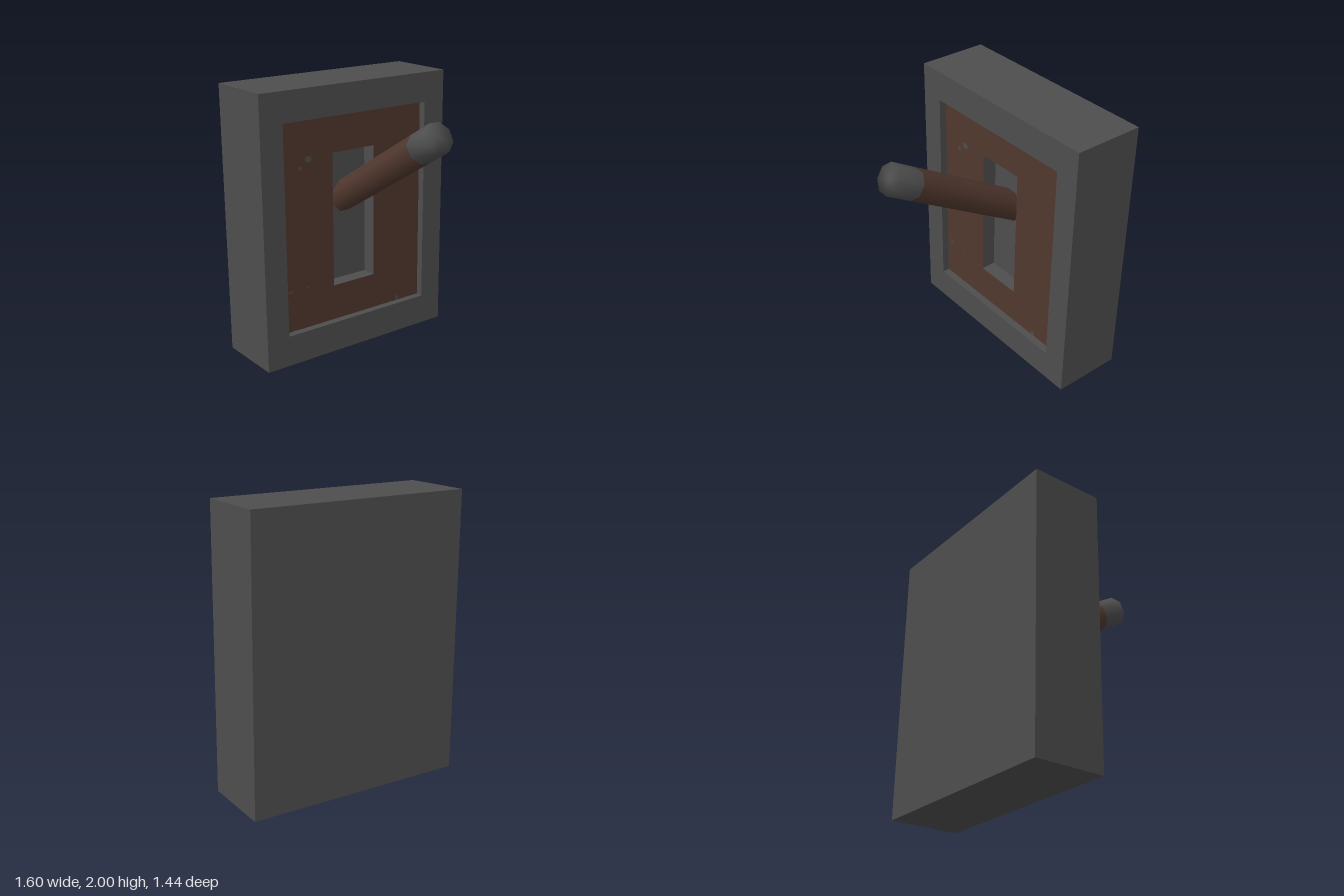
import * as THREE from 'three';
import { mergeGeometries, mergeVertices } from 'three/addons/utils/BufferGeometryUtils.js';

// Rectangles as [halfWidth, bottom, top]
const OUTER = [0.8, 0, 2];
const RECESS = [0.62, 0.23, 1.78];
const SLOT = [0.183, 0.5, 1.505];
const BACK_Z = -0.72, FRONT_Z = -0.2, PLATE_Z = -0.255, FLOOR_Z = -0.365;

const corners = ([w, b, t]) => [[-w, b], [w, b], [w, t], [-w, t]].map(([x, y]) => new THREE.Vector2(x, y));

// Flat panel facing +z, optionally with a rectangular opening
function panel(rect, z, opening) {
  const shape = new THREE.Shape(corners(rect));
  if (opening) shape.holes.push(new THREE.Path(corners(opening).reverse()));
  const geo = new THREE.ShapeGeometry(shape).toNonIndexed();
  geo.deleteAttribute('uv');
  return geo.translate(0, 0, z);
}

// Four walls between two depths; they face outward when z0 < z1, inward otherwise
function walls(rect, z0, z1) {
  const c = corners(rect), pos = [];
  c.forEach((a, i) => {
    const b = c[(i + 1) % 4];
    pos.push(a.x, a.y, z0, b.x, b.y, z0, b.x, b.y, z1, a.x, a.y, z0, b.x, b.y, z1, a.x, a.y, z1);
  });
  const geo = new THREE.BufferGeometry();
  geo.setAttribute('position', new THREE.Float32BufferAttribute(pos, 3));
  geo.computeVertexNormals();
  return geo;
}

export function createModel() {
  const group = new THREE.Group();
  const metal = new THREE.MeshStandardMaterial({ color: 0x4e4e4e });
  metal.name = 'dark grey metal';
  const rust = new THREE.MeshStandardMaterial({ color: 0x51382e });
  rust.name = 'rust brown';

  const add = (name, geo, mat, parent = group) => {
    const mesh = new THREE.Mesh(geo, mat);
    mesh.name = name;
    parent.add(mesh);
    return mesh;
  };

  // Housing with a shallow recess and a deeper lever slot
  const back = panel(OUTER, 0).rotateY(Math.PI).translate(0, 0, BACK_Z);
  add('housing', mergeGeometries([
    back,
    walls(OUTER, BACK_Z, FRONT_Z),
    panel(OUTER, FRONT_Z, RECESS),
    walls(RECESS, FRONT_Z, PLATE_Z),
    walls(SLOT, PLATE_Z, FLOOR_Z),
    panel(SLOT, FLOOR_Z),
  ]), metal);

  // Rusty face plate around the slot
  add('facePlate', panel(RECESS, PLATE_Z, SLOT), rust);

  // Worn spots on the plate: x, y, half width, half height
  const spots = [
    [-0.39, 1.49, 0.03, 0.024], [-0.46, 1.435, 0.016, 0.014], [0.41, 0.253, 0.018, 0.017],
    [-0.565, 0.547, 0.027, 0.004], [-0.565, 0.535, 0.027, 0.004], [-0.41, 0.542, 0.01, 0.006],
    [-0.605, 1.762, 0.015, 0.012], [-0.53, 0.235, 0.03, 0.004],
  ];
  for (const [x, y, w, h] of spots) {
    const spot = add('wornSpot', new THREE.CircleGeometry(1, 8), metal);
    spot.scale.set(w, h, 1);
    spot.position.set(x, y, PLATE_Z + 0.003);
  }

  // Octagonal lever, its origin at the tip and its axis along local y
  const lever = new THREE.Group();
  lever.name = 'lever';
  lever.position.set(0, 1.757, 0.663);
  lever.rotation.x = THREE.MathUtils.degToRad(59);
  group.add(lever);

  const radius = 0.1115, tipLength = 0.21, length = 1.3;
  const rod = (from, to, open) =>
    new THREE.CylinderGeometry(radius, radius, to - from, 8, 1, open)
      .rotateY(Math.PI / 8).translate(0, (from + to) / 2, 0);
  add('leverShaft', rod(-length, -tipLength, true), rust, lever);

  // Tip with normals blended over the end, without its hidden inner cap
  let tip = rod(-tipLength, 0, false);
  const capGroup = tip.groups[2];
  tip.setIndex(Array.from(tip.index.array).slice(0, capGroup.start));
  tip.clearGroups();
  tip.deleteAttribute('normal');
  tip.deleteAttribute('uv');
  tip = mergeVertices(tip, 1e-4);
  tip.computeVertexNormals();
  add('leverTip', tip, metal, lever);

  return group;
}
